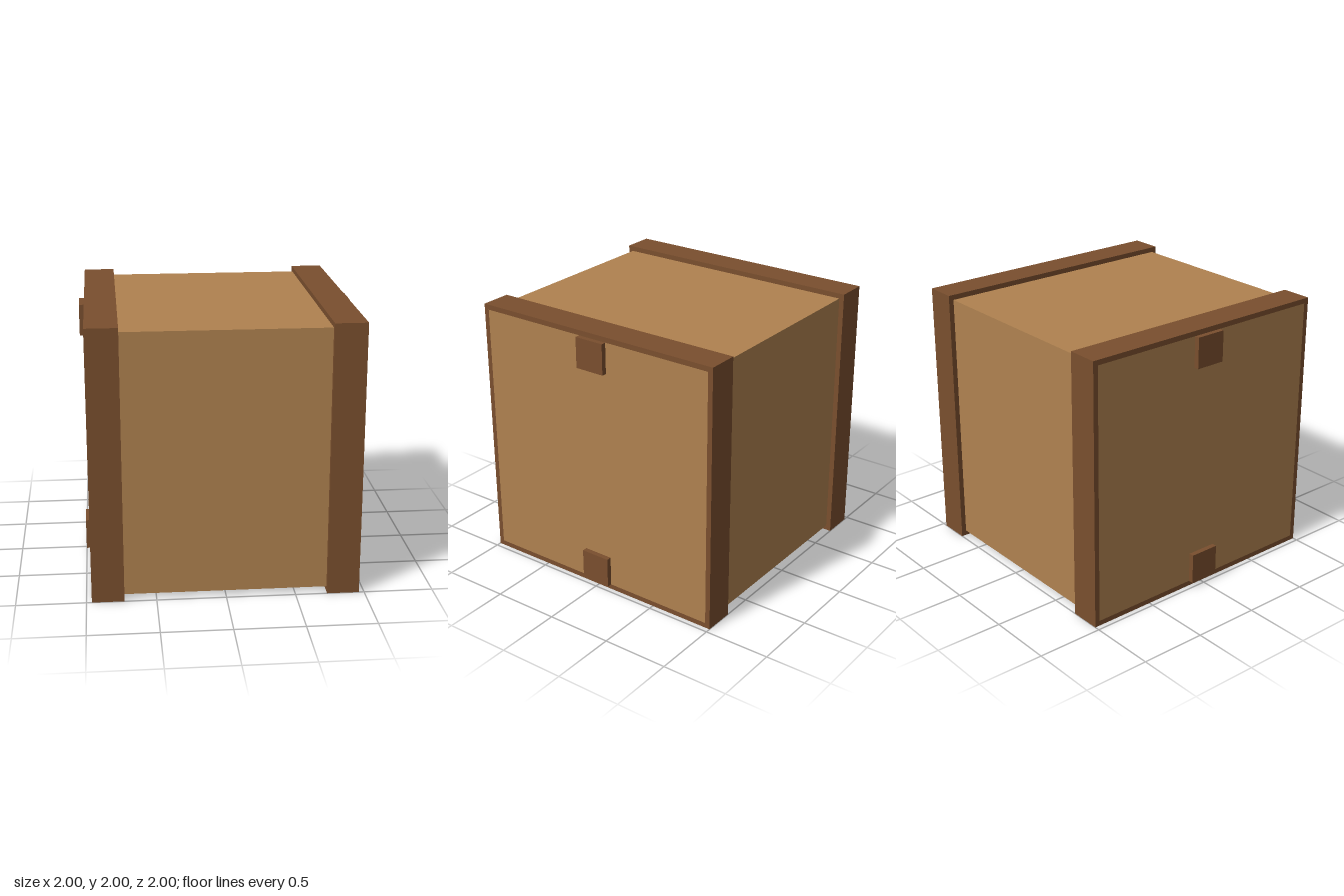
import * as THREE from 'three';

const H = 0.962; // half size of the crate body

export function createModel() {
  const group = new THREE.Group();
  const wood = new THREE.MeshStandardMaterial({ color: 0xb08250, flatShading: true });
  const darkWood = new THREE.MeshStandardMaterial({ color: 0x7a4f2e, flatShading: true });

  const add = (name, geometry, material, x, y, z) => {
    const mesh = new THREE.Mesh(geometry, material);
    mesh.name = name;
    mesh.position.set(x, y, z);
    group.add(mesh);
  };

  // Crate body
  add('crateBody', new THREE.BoxGeometry(2 * H, 2 * H, 2 * H), wood, 0, 1, 0);

  // Square band that wraps around the body near each end
  const square = (r) => [[-r, -r], [r, -r], [r, r], [-r, r]].map(([x, y]) => new THREE.Vector2(x, y));
  const ring = new THREE.Shape(square(1));
  ring.holes.push(new THREE.Path(square(H).reverse()));
  const bandWidth = 0.232;
  const band = new THREE.ExtrudeGeometry(ring, { depth: bandWidth, bevelEnabled: false });
  band.translate(0, 0, -bandWidth / 2).rotateY(Math.PI / 2);

  // Small blocks at the top and bottom of each end
  const block = new THREE.BoxGeometry(1 - H, 0.23, 0.23);

  for (const [side, s] of [['left', 1], ['right', -1]]) {
    add(side + 'Band', band, darkWood, s * (H - bandWidth / 2), 1, 0);
    add(side + 'UpperBlock', block, darkWood, s * (1 + H) / 2, 1 + H - 0.115, 0);
    add(side + 'LowerBlock', block, darkWood, s * (1 + H) / 2, 1 - H + 0.115, 0);
  }
  return group;
}
